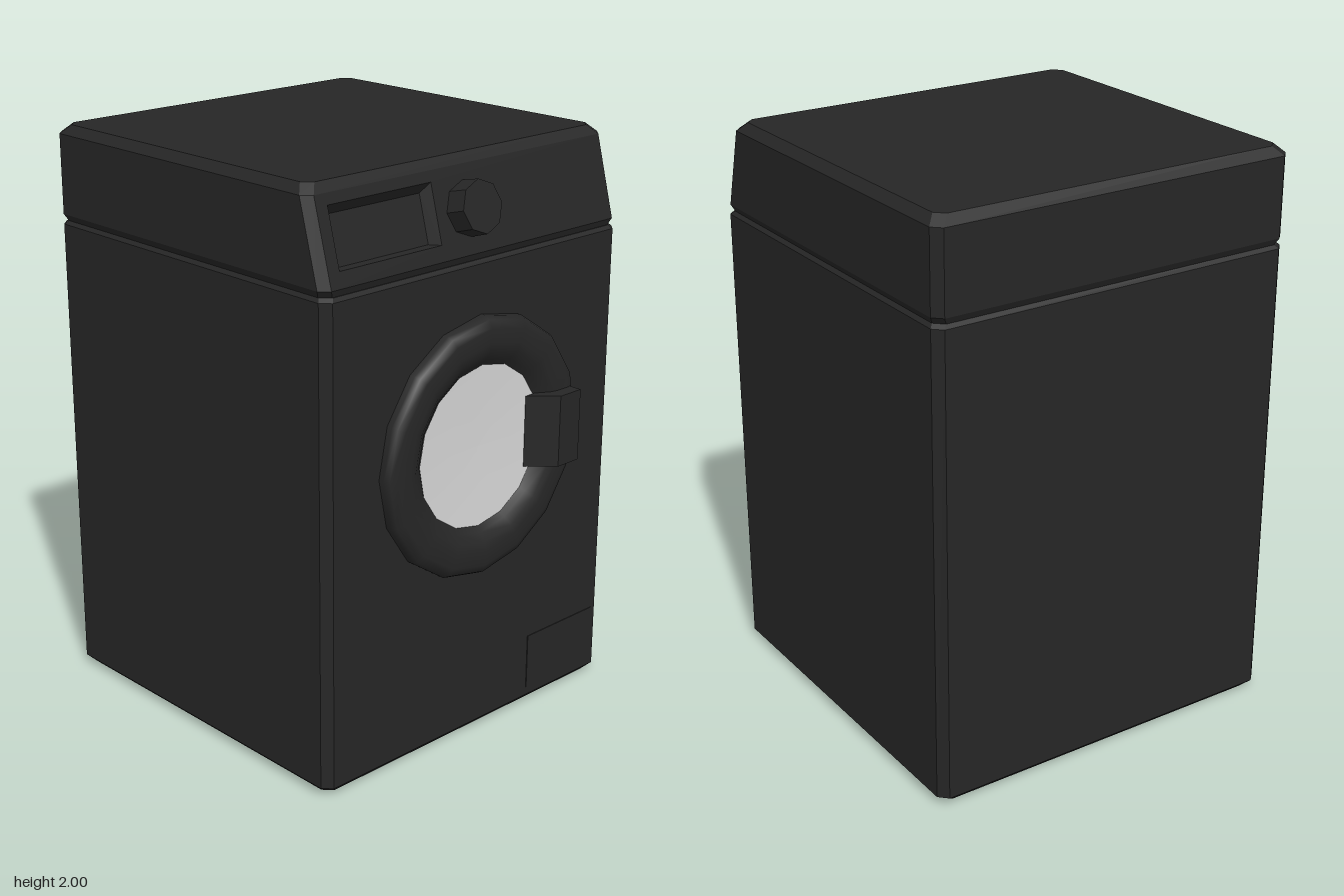
import * as THREE from 'three';
import { toCreasedNormals } from 'three/addons/utils/BufferGeometryUtils.js';

const casing = new THREE.MeshStandardMaterial({ color: 0x262626 });
casing.name = 'charcoal casing';
const glass = new THREE.MeshStandardMaterial({ color: 0xd6d6d6 });
glass.name = 'pale glass';

// Joins closed rings of points into a faceted solid, with optional caps and omitted faces
function loft(rings, { capStart = true, capEnd = true, skip = () => false } = {}) {
  const v = [];
  const tri = (...p) => p.forEach((q) => v.push(...q));
  const n = rings[0].length;
  for (let r = 0; r < rings.length - 1; r++) {
    for (let i = 0; i < n; i++) {
      if (skip(r, i)) continue;
      const j = (i + 1) % n, lo = rings[r], hi = rings[r + 1];
      tri(lo[i], lo[j], hi[j]);
      tri(lo[i], hi[j], hi[i]);
    }
  }
  const last = rings[rings.length - 1];
  for (let i = 1; i < n - 1; i++) {
    if (capStart) tri(rings[0][0], rings[0][i + 1], rings[0][i]);
    if (capEnd) tri(last[0], last[i], last[i + 1]);
  }
  const g = new THREE.BufferGeometry();
  g.setAttribute('position', new THREE.Float32BufferAttribute(v, 3));
  g.computeVertexNormals();
  return g;
}

// Horizontal rectangle with cut corners; edge 0 is the front
const C = 0.03;
function slab(y, x, front, back) {
  return [[C - x, front], [x - C, front], [x, front - C], [x, back + C],
    [x - C, back], [C - x, back], [-x, back + C], [-x, front - C]].map(([a, z]) => [a, y, z]);
}

const rect = (x0, y0, x1, y1, z) => [[x0, y0, z], [x1, y0, z], [x1, y1, z], [x0, y1, z]];

export function createModel() {
  const model = new THREE.Group();
  model.name = 'washingMachine';
  const add = (name, geometry, material = casing, parent = model) => {
    const m = new THREE.Mesh(geometry, material);
    m.name = name;
    parent.add(m);
    return m;
  };

  // Main cabinet with bevelled edges
  add('cabinet', loft([
    slab(0, 0.64, 0.59, -0.69), slab(0.03, 0.67, 0.62, -0.72),
    slab(1.66, 0.67, 0.62, -0.72), slab(1.672, 0.658, 0.608, -0.708),
  ]));

  // Upper housing; its sloping front is left open for the control panel
  add('upperHousing', loft([
    slab(1.672, 0.658, 0.605, -0.708), slab(1.695, 0.67, 0.615, -0.72),
    slab(1.97, 0.67, 0.54, -0.72), slab(2, 0.64, 0.51, -0.69),
  ], { skip: (r, i) => r === 1 && i === 0 }));

  // Sloping control panel
  const panel = new THREE.Group();
  panel.name = 'controlPanel';
  panel.position.set(0, 1.695, 0.615);
  panel.rotation.x = -Math.atan2(0.075, 0.275);
  model.add(panel);
  const height = Math.hypot(0.075, 0.275);
  const points = (ring) => ring.map(([x, y]) => new THREE.Vector2(x, y));
  const opening = rect(-0.595, 0.052, -0.165, 0.249, 0);
  const face = new THREE.Shape(points(rect(-0.64, 0, 0.64, height, 0)));
  face.holes.push(new THREE.Path(points(opening)));
  add('panelFace', new THREE.ShapeGeometry(face), casing, panel);
  add('drawerRecess', loft([opening, rect(-0.572, 0.061, -0.188, 0.222, -0.035)],
    { capStart: false }), casing, panel);

  // Eight-sided programme dial
  const dial = new THREE.CylinderGeometry(0.087, 0.09, 0.075, 8).rotateX(Math.PI / 2);
  add('dial', toCreasedNormals(dial, 0.5), casing, panel).position.set(-0.03, 0.145, 0.0325);

  // Round door: sixteen-sided rim around a shallow glass dish
  const lathe = (profile) => new THREE.LatheGeometry(
    profile.map(([r, z]) => new THREE.Vector2(r, z)), 16).rotateX(Math.PI / 2);
  const door = new THREE.Group();
  door.name = 'door';
  door.position.set(0, 1.047, 0.62);
  model.add(door);
  add('doorRim', lathe([[0.447, -0.01], [0.447, 0.02], [0.437, 0.038], [0.41, 0.05],
    [0.36, 0.05], [0.33, 0.044], [0.3, 0.025], [0.276, 0.006]]), casing, door);
  add('doorGlass', lathe([[0.28, 0.011], [0.15, 0.006], [0, 0.004]]), glass, door);

  // Wedge-shaped door handle
  const wedge = new THREE.Shape([[0.21, 0.635], [0.395, 0.635], [0.395, 0.715], [0.295, 0.715]]
    .map(([x, z]) => new THREE.Vector2(x, z)));
  const handle = new THREE.ExtrudeGeometry(wedge, { depth: 0.25, bevelEnabled: false });
  add('doorHandle', handle.rotateX(Math.PI / 2)).position.y = 1.17;

  // Small filter cover low on the front
  add('filterCover', new THREE.BoxGeometry(0.34, 0.2, 0.006)).position.set(0.45, 0.16, 0.62);

  return model;
}
